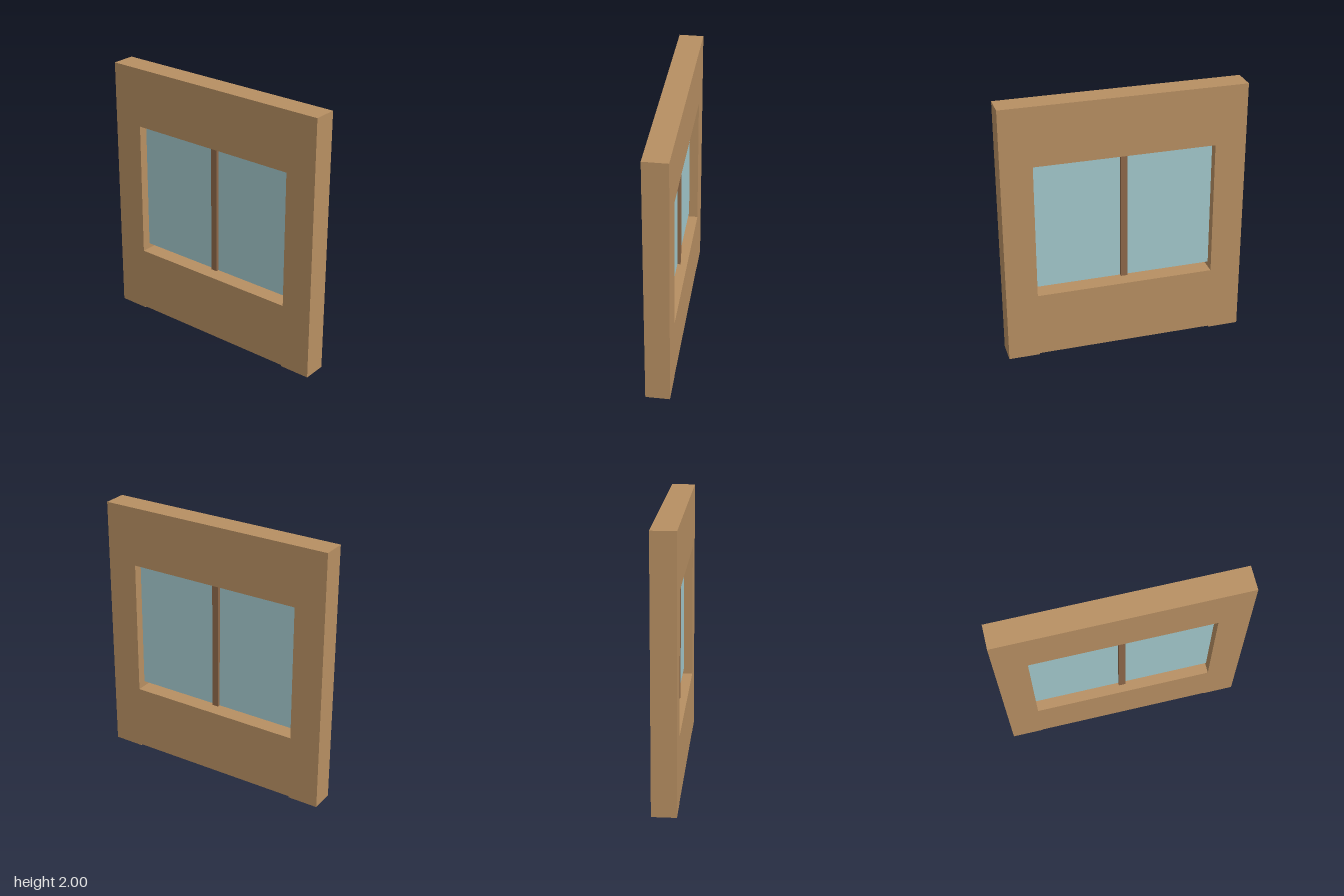
import * as THREE from 'three';

export function createModel() {
  const model = new THREE.Group();
  model.name = 'windowWall';

  const mat = (name, color) => {
    const m = new THREE.MeshStandardMaterial({ color });
    m.name = name;
    return m;
  };
  const wood = mat('tan wood', 0xb78f62);
  const darkWood = mat('dark wood', 0x8d6849);
  const glass = mat('pale blue glass', 0xa2c8cc);

  const add = (name, geometry, material, x = 0, y = 0, z = 0) => {
    const mesh = new THREE.Mesh(geometry, material);
    mesh.name = name;
    mesh.position.set(x, y, z);
    model.add(mesh);
  };

  const halfW = 0.91, openX = 0.675, depth = 0.18;
  const sillY = 0.51, paneBottom = 0.55, headY = 1.55;
  const points = (list) => list.map(([x, y]) => new THREE.Vector2(x, y));

  // Wall panel: shallow notch under the middle, rectangular window opening
  const outline = new THREE.Shape(points([
    [-halfW, 0], [-openX, 0], [-openX, 0.01], [openX, 0.01],
    [openX, 0], [halfW, 0], [halfW, 2], [-halfW, 2],
  ]));
  outline.holes.push(new THREE.Path(points([
    [-openX, sillY], [-openX, headY], [openX, headY], [openX, sillY],
  ])));
  add('wallPanel', new THREE.ExtrudeGeometry(outline, { depth, bevelEnabled: false }), wood, 0, 0, -depth / 2);

  // Two panes, stopping short of the sill, either side of the mullion
  const mullionW = 0.05, paneH = headY - paneBottom, midY = (headY + paneBottom) / 2;
  const paneW = openX - mullionW / 2;
  for (const side of [-1, 1]) {
    add(side > 0 ? 'leftPane' : 'rightPane', new THREE.BoxGeometry(paneW, paneH, 0.045), glass,
      side * (mullionW + paneW) / 2, midY);
  }

  // Central mullion, standing proud of the glass on both faces
  add('mullion', new THREE.BoxGeometry(mullionW, paneH, 0.09), darkWood, 0, midY);

  return model;
}
